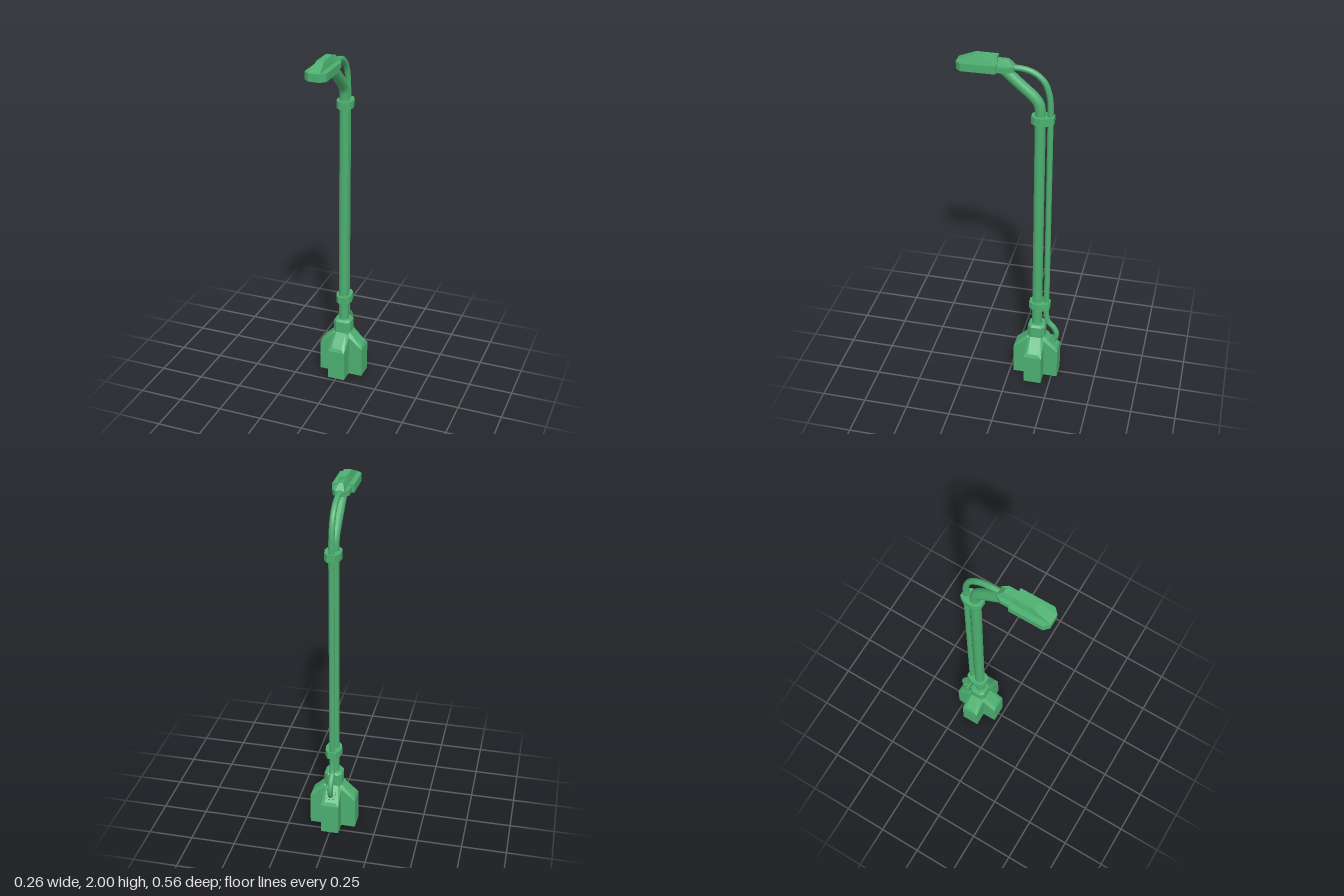
import * as THREE from 'three';
import { ConvexGeometry } from 'three/addons/geometries/ConvexGeometry.js';

const COLOR = 0x4caf70;
const POLE_Z = -0.15;

export function createModel() {
  const root = new THREE.Group();
  root.name = 'streetLamp';
  const flat = new THREE.MeshStandardMaterial({ color: COLOR, flatShading: true });
  const smooth = new THREE.MeshStandardMaterial({ color: COLOR });

  const add = (name, geometry, material = flat, parent = root) => {
    const mesh = new THREE.Mesh(geometry, material);
    mesh.name = name;
    parent.add(mesh);
    return mesh;
  };

  // Convex solid from corners [halfWidth, y, z], mirrored left and right
  const mirrored = (corners) => new ConvexGeometry(
    corners.flatMap(([x, y, z]) => [new THREE.Vector3(x, y, z), new THREE.Vector3(-x, y, z)]));

  // Round tube through [y, z] points on the centre plane
  const pipe = (points, radius, segments, sides) => new THREE.TubeGeometry(
    new THREE.CatmullRomCurve3(points.map(([y, z]) => new THREE.Vector3(0, y, z))),
    segments, radius, sides);

  // Base: four buttresses around a chamfered collar
  const base = new THREE.Group();
  base.name = 'base';
  base.position.z = POLE_Z - 0.002;
  root.add(base);
  const buttress = mirrored([
    [0.05, 0, 0], [0.05, 0, 0.13], [0.05, 0.18, 0.13], [0.03, 0.2, 0.122],
    [0.03, 0.272, 0.048], [0.05, 0.25, 0.048], [0.05, 0.25, 0], [0.03, 0.272, 0],
  ]);
  for (let i = 0; i < 4; i++) add('buttress', buttress, flat, base).rotation.y = i * Math.PI / 2;

  const octagon = (half, side, y) => [[half, y, side], [side, y, half], [half, y, -side], [side, y, -half]];
  add('baseCollar', mirrored([
    ...octagon(0.05, 0.03, 0.2), ...octagon(0.05, 0.03, 0.338), ...octagon(0.04, 0.024, 0.35),
  ]), flat, base);

  // Pole with its bent arm
  add('pole', pipe([
    [0.3, POLE_Z], [1.0, POLE_Z], [1.65, POLE_Z], [1.71, POLE_Z],
    [1.75, -0.142], [1.782, -0.12], [1.86, -0.032], [1.932, 0.05],
  ], 0.029, 110, 14), smooth);

  // Cable: loops out of the base, climbs behind the pole, arcs to the head
  add('cable', pipe([
    [0.205, -0.228], [0.235, -0.252], [0.28, -0.266], [0.322, -0.25], [0.36, -0.217],
    [0.41, -0.204], [0.6, -0.204], [1.1, -0.204], [1.6, -0.204], [1.72, -0.204],
    [1.8, -0.197], [1.87, -0.172], [1.915, -0.125], [1.935, -0.07], [1.94, 0.01],
  ], 0.016, 140, 10), smooth);

  // Socket where the cable leaves the base
  const socket = add('cableSocket', new THREE.BoxGeometry(0.05, 0.04, 0.045));
  socket.position.set(0, 0.222, -0.238);
  socket.rotation.x = -Math.PI / 4;

  // Clamps holding the cable to the pole
  const half = [[0.02, -0.106], [0.038, -0.125], [0.046, -0.155], [0.04, -0.195], [0.022, -0.224]];
  for (const y of [0.46, 1.645]) {
    add('clamp', mirrored(half.flatMap(([x, z]) => [[x, y, z], [x, y + 0.042, z]])));
  }

  // Lamp head: body with clipped front corners, tapered hood, neck and neck ridge
  const plate = (outline, y0, y1) => mirrored(outline.flatMap(([x, z]) => [[x, y0, z], [x, y1, z]]));
  const head = new THREE.Group();
  head.name = 'lampHead';
  root.add(head);
  add('lampBody', plate([[0.058, 0.07], [0.058, 0.256], [0.031, 0.282]], 1.917, 1.96), flat, head);
  add('lampHood', mirrored([
    [0.031, 1.955, 0.07], [0.031, 1.96, 0.282], [0.031, 1.955, 0.282],
    [0.018, 2, 0.07], [0.02, 2, 0.187],
  ]), flat, head);
  add('lampNeck', plate([[0.044, 0.08], [0.044, 0.015], [0.023, -0.014]], 1.92, 1.95), flat, head);
  add('neckRidge', mirrored([
    [0.024, 1.945, 0.08], [0.024, 1.945, -0.014], [0.024, 1.95, -0.014],
    [0.011, 1.983, 0.016], [0.011, 1.983, 0.08],
  ]), flat, head);

  return root;
}
